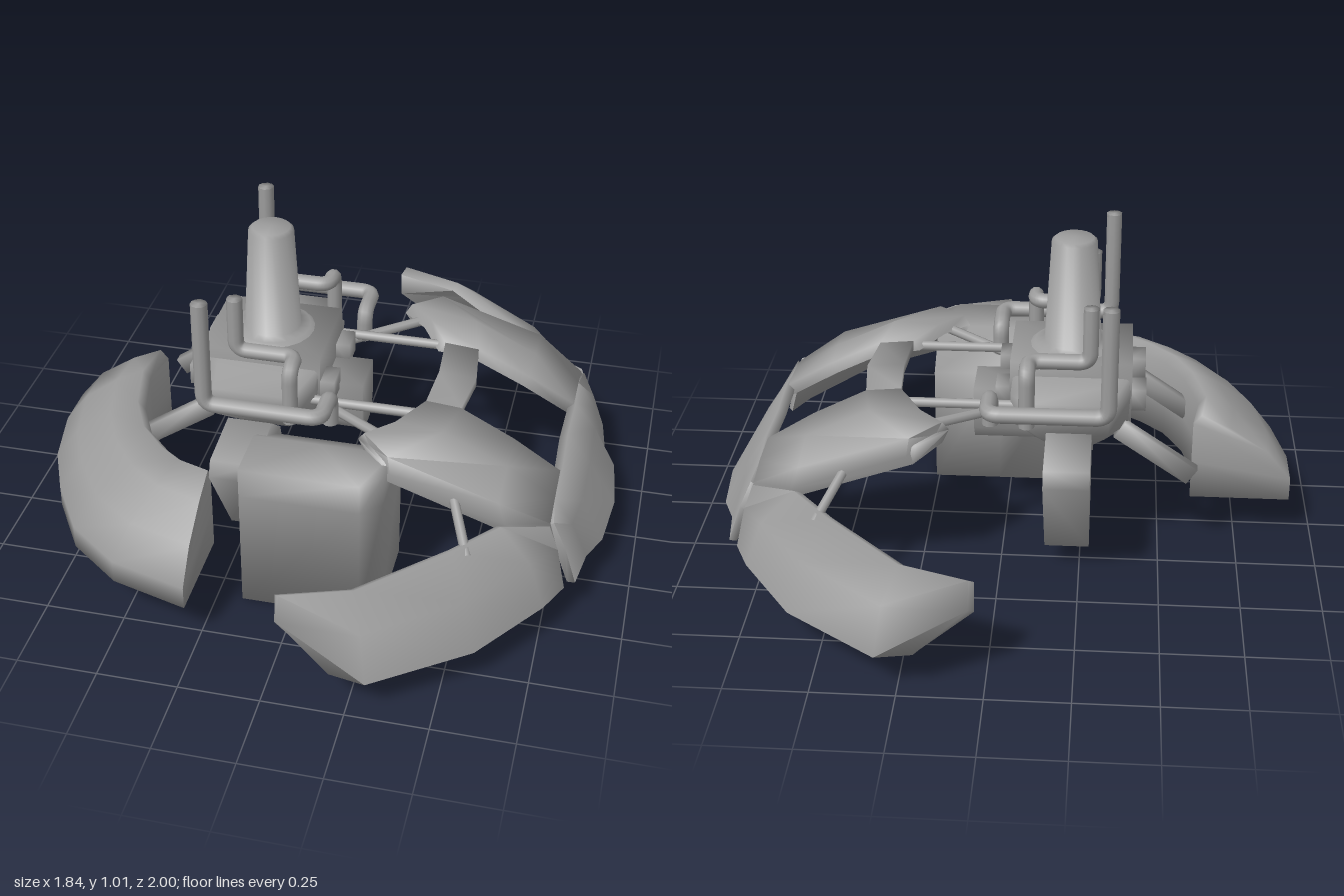
import * as THREE from 'three';
import { toCreasedNormals } from 'three/addons/utils/BufferGeometryUtils.js';

const mat = new THREE.MeshStandardMaterial({ color: 0x9c9c9c, side: THREE.DoubleSide });
const SMOOTH = 1.7; // blends even square corners
const RIM_BOTTOM = 0.13;
const V = (x, y, z) => new THREE.Vector3(x, y, z);

function add(parent, name, geo) {
  const m = new THREE.Mesh(geo, mat);
  m.name = name;
  parent.add(m);
  return m;
}

// Closed solid through a row of rings, capped at both ends and wound outward
function loft(rings) {
  const n = rings[0].length, tris = [];
  const quad = (a, b, c, d) => tris.push([a, b, c], [a, c, d]);
  for (let i = 0; i < rings.length - 1; i++)
    for (let j = 0; j < n; j++) {
      const k = (j + 1) % n;
      quad(rings[i][j], rings[i][k], rings[i + 1][k], rings[i + 1][j]);
    }
  const cap = (r, flip) => {
    for (let j = 0; j < n / 2 - 1; j++) {
      const a = r[j], b = r[j + 1], c = r[n - 2 - j], d = r[n - 1 - j];
      flip ? quad(a, d, c, b) : quad(a, b, c, d);
    }
  };
  cap(rings[0], true);
  cap(rings[rings.length - 1], false);
  let vol = 0;
  for (const [a, b, c] of tris) vol += V(...a).dot(V(...b).cross(V(...c)));
  const flat = tris.flatMap(([a, b, c]) => (vol < 0 ? [a, c, b] : [a, b, c])).flat();
  const g = new THREE.BufferGeometry();
  g.setAttribute('position', new THREE.Float32BufferAttribute(flat, 3));
  return toCreasedNormals(g, SMOOTH);
}

// Curved plate: rows of points given a thickness by an offset, cut level at the bottom
function plate(rows, [dx, dy, dz]) {
  const under = p => [p[0] + dx, Math.max(p[1] + dy, RIM_BOTTOM), p[2] + dz];
  return loft(rows.map(r => [...r, ...[...r].reverse().map(under)]));
}

// Prism along x from a profile of [z, y] points
function prism(profile, x0, x1) {
  return loft([x0, x1].map(x => profile.map(([z, y]) => [x, y, z])));
}

// Straight rod between two points
function rod(a, b, r) {
  return new THREE.TubeGeometry(new THREE.LineCurve3(V(...a), V(...b)), 1, r, 8);
}

// Pipe with rounded bends and a closed top
function pipe(parent, name, pts, r, bend) {
  const p = pts.map(q => V(...q)), path = new THREE.CurvePath();
  let last = p[0];
  for (let i = 1; i < p.length - 1; i++) {
    const a = p[i].clone().add(p[i - 1].clone().sub(p[i]).setLength(bend));
    const b = p[i].clone().add(p[i + 1].clone().sub(p[i]).setLength(bend));
    path.add(new THREE.LineCurve3(last, a));
    path.add(new THREE.QuadraticBezierCurve3(a, p[i], b));
    last = b;
  }
  path.add(new THREE.LineCurve3(last, p[p.length - 1]));
  add(parent, name, new THREE.TubeGeometry(path, 90, r, 10));
  const cap = toCreasedNormals(new THREE.CylinderGeometry(r, r, 0.01, 10), SMOOTH);
  add(parent, name + 'Cap', cap).position.set(p[0].x, p[0].y - 0.004, p[0].z);
}

// Parts found on both the front and the back
function buildSide() {
  const side = new THREE.Group();

  // Exhaust pipes
  pipe(side, 'tallPipe', [[-0.33, 0.935, 0.38], [-0.33, 0.58, 0.38], [0.035, 0.58, 0.38],
    [0.035, 0.58, 0.25], [0.035, 0.48, 0.25]], 0.026, 0.04);
  pipe(side, 'shortPipe', [[-0.27, 0.865, 0.22], [-0.27, 0.685, 0.22], [-0.08, 0.685, 0.22],
    [-0.08, 0.685, 0.3], [-0.08, 0.5, 0.3]], 0.025, 0.038);

  // Tilted block hanging beside the hub
  add(side, 'tiltedBlock', prism([[0.31, 0.08], [0.52, 0.41], [0.5, 0.46], [0.3, 0.48], [0.2, 0.4], [0.14, 0.22]], -0.28, -0.14));

  // Rods that carry the plates
  add(side, 'straightRod', rod([-0.06, 0.52, 0.2], [0.36, 0.52, 0.2], 0.016));
  add(side, 'diagonalRod', rod([-0.04, 0.5, 0.16], [0.26, 0.52, 0.37], 0.016));
  add(side, 'armRod', rod([0.46, 0.42, 0.46], [0.53, 0.33, 0.62], 0.015));
  const bar = add(side, 'armourBar', toCreasedNormals(new THREE.BoxGeometry(0.28, 0.06, 0.035), SMOOTH));
  bar.position.set(-0.48, 0.38, 0.215);
  bar.rotation.z = 0.6;

  // Side of the deck, running from the hub down to the rim
  add(side, 'deckSide', plate([
    [[0.19, 0.51, 0.39], [0.17, 0.55, 0.38], [0.25, 0.55, 0.3], [0.32, 0.55, 0.17]],
    [[0.27, 0.48, 0.475], [0.26, 0.54, 0.47], [0.4, 0.55, 0.32], [0.43, 0.54, 0.17]],
    [[0.62, 0.36, 0.48], [0.6, 0.43, 0.475], [0.6, 0.455, 0.32], [0.6, 0.455, 0.175]],
    [[0.77, 0.27, 0.42], [0.75, 0.34, 0.42], [0.75, 0.36, 0.32], [0.75, 0.365, 0.185]],
  ], [-0.02, -0.03, -0.01]));

  // Long curved arm
  add(side, 'curvedArm', plate([
    [[0.045, 0.36, 0.94], [0.045, 0.27, 0.955], [0.2, 0.13, 0.98]],
    [[0.25, 0.36, 0.87], [0.29, 0.28, 0.965], [0.31, 0.13, 1.0]],
    [[0.49, 0.36, 0.635], [0.55, 0.28, 0.76], [0.59, 0.13, 0.8]],
    [[0.61, 0.36, 0.495], [0.71, 0.27, 0.54], [0.76, 0.13, 0.56]],
    [[0.75, 0.34, 0.435], [0.78, 0.26, 0.44], [0.81, 0.13, 0.455]],
  ], [-0.015, -0.02, -0.025]));

  // Lugs on the hub
  for (const x of [-0.42, 0])
    add(side, 'hubLug', toCreasedNormals(new THREE.BoxGeometry(0.05, 0.07, 0.09), SMOOTH)).position.set(x, 0.525, 0.11);
  return side;
}

export function createModel() {
  const model = new THREE.Group();

  // Hub, with a wide waist and a tapered underside
  add(model, 'hubTop', prism([[-0.15, 0.645], [0.15, 0.645], [0.16, 0.59], [0.16, 0.45], [-0.16, 0.45], [-0.16, 0.59]], -0.4, -0.02));
  const octagon = (y, x, z, c) => [[x, z - c], [x - c, z], [c - x, z], [-x, z - c], [-x, c - z], [c - x, -z], [x - c, -z], [x, c - z]]
    .map(([px, pz]) => [px - 0.21, y, pz]);
  add(model, 'hubBody', loft([octagon(0.6, 0.18, 0.2, 0.05), octagon(0.56, 0.185, 0.27, 0.06),
    octagon(0.46, 0.18, 0.26, 0.06), octagon(0.33, 0.11, 0.1, 0.04)]));

  // Chimney with a domed top and a flared foot
  const profile = [[0, 0.64], [0.14, 0.64], [0.12, 0.655], [0.09, 0.66], [0.071, 0.995], [0.06, 1.005], [0, 1.007]];
  add(model, 'chimney', toCreasedNormals(
    new THREE.LatheGeometry(profile.map(([r, y]) => new THREE.Vector2(r, y)), 20), SMOOTH)).position.x = -0.21;

  // Stub facing the deck
  add(model, 'hubStub', prism([[-0.08, 0.51], [0.08, 0.51], [0.08, 0.37], [0.04, 0.32], [-0.04, 0.32], [-0.08, 0.37]], -0.1, 0.1));

  // Front and back halves
  const front = buildSide(), back = buildSide();
  front.name = 'frontHalf';
  back.name = 'backHalf';
  back.scale.z = -1;
  model.add(front, back);

  // Bar joining the two deck sides at the hub
  add(model, 'deckBar', plate([-1, 0, 1].map(s =>
    [[0.32 + (s ? 0 : 0.01), 0.55, 0.17 * s], [0.43 + (s ? 0 : 0.02), 0.54, 0.17 * s]]), [0, -0.03, 0]));

  // Outer rim
  const rim = [
    [[0.76, 0.34, 0.415], [0.8, 0.25, 0.415], [0.84, 0.13, 0.425]],
    [[0.75, 0.36, 0.32], [0.81, 0.27, 0.32], [0.86, 0.13, 0.29]],
    [[0.755, 0.37, 0.18], [0.825, 0.27, 0.2], [0.9, 0.13, 0.2]],
    [[0.75, 0.37, 0], [0.83, 0.27, 0], [0.92, 0.13, 0]],
  ];
  const mirrored = rim.slice(0, 3).reverse().map(r => r.map(([x, y, z]) => [x, y, -z]));
  add(model, 'outerRim', plate([...rim, ...mirrored], [-0.025, -0.02, 0]));

  // Box under the front, with one cut corner and a sloping inner top
  const boxRing = (y, zIn) => [[-0.17, y, 0.58], [0.2, y, 0.58], [0.26, y, 0.52], [0.26, y, zIn], [0.04, y, zIn], [-0.17, y, zIn]];
  add(model, 'frontBox', loft([boxRing(0, 0.24), boxRing(0.4, 0.24), boxRing(0.5, 0.4)]));

  // Thick curved armour: outer and inner [x, z] of each station
  const stations = [
    [-0.92, -0.08, -0.6, -0.08], [-0.92, 0.07, -0.62, 0.05], [-0.88, 0.27, -0.58, 0.22], [-0.81, 0.43, -0.52, 0.34],
    [-0.695, 0.615, -0.44, 0.42], [-0.525, 0.745, -0.37, 0.47], [-0.28, 0.815, -0.28, 0.5],
  ];
  const section = [[0, 0.14], [0, 0.215], [0.25, 0.315], [0.62, 0.395], [0.92, 0.44], [1, 0.41], [1, 0.27], [1, 0.14]];
  add(model, 'curvedArmour', loft(stations.map(([ox, oz, ix, iz]) =>
    section.map(([t, y]) => [ox + (ix - ox) * t, y, oz + (iz - oz) * t]))));

  return model;
}
